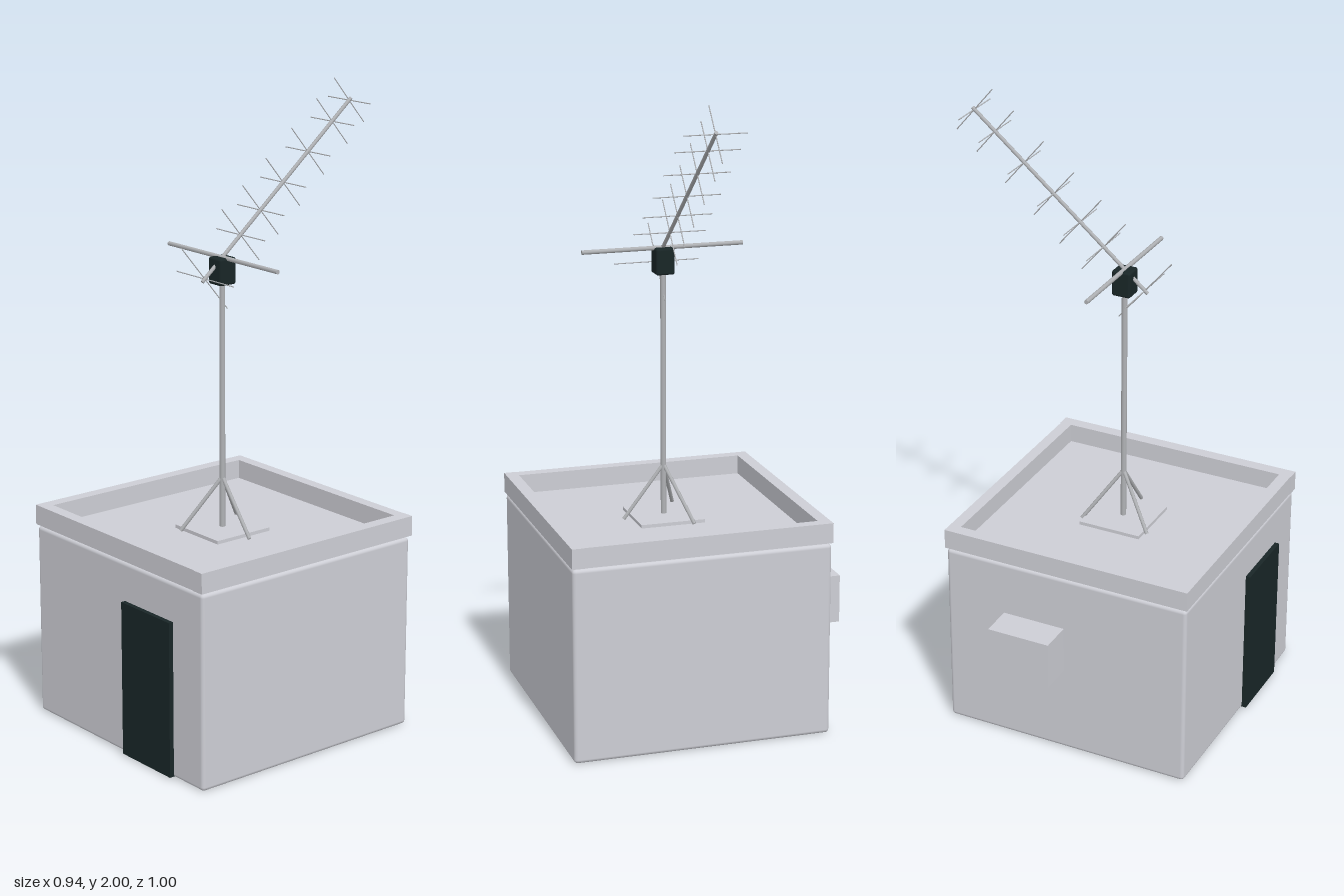
import * as THREE from 'three';
import { RoundedBoxGeometry } from 'three/addons/geometries/RoundedBoxGeometry.js';

const CX = 0.052, CZ = 0.072; // centre of the hut and mast

export function createModel() {
  const group = new THREE.Group();
  const concrete = new THREE.MeshStandardMaterial({ color: 0xcdced5 });
  concrete.name = 'concrete grey';
  const dark = new THREE.MeshStandardMaterial({ color: 0x192627 });
  dark.name = 'dark green';
  const metal = new THREE.MeshStandardMaterial({ color: 0xb0b2b5 });
  metal.name = 'metal grey';

  function add(name, geometry, material, x, y, z) {
    const mesh = new THREE.Mesh(geometry, material);
    mesh.name = name;
    mesh.position.set(x, y, z);
    group.add(mesh);
    return mesh;
  }
  // box given by its minimum and maximum corners
  function box(name, material, x0, x1, y0, y1, z0, z1, bevel = 0) {
    const w = x1 - x0, h = y1 - y0, d = z1 - z0;
    const geometry = bevel ? new RoundedBoxGeometry(w, h, d, 2, bevel) : new THREE.BoxGeometry(w, h, d);
    return add(name, geometry, material, (x0 + x1) / 2, (y0 + y1) / 2, (z0 + z1) / 2);
  }
  // round bar between two points
  function rod(name, a, b, radius, sides = 8) {
    const dir = b.clone().sub(a);
    const mid = a.clone().add(b).multiplyScalar(0.5);
    const mesh = add(name, new THREE.CylinderGeometry(radius, radius, dir.length(), sides), metal, mid.x, mid.y, mid.z);
    mesh.quaternion.setFromUnitVectors(new THREE.Vector3(0, 1, 0), dir.normalize());
    return mesh;
  }
  const v = (x, y, z) => new THREE.Vector3(x, y, z);

  // hut
  box('hutBody', concrete, -0.363, 0.465, 0, 0.622, -0.341, 0.485, 0.012);
  box('roofDeck', concrete, -0.35, 0.45, 0.607, 0.629, -0.33, 0.47);
  box('parapetFront', concrete, -0.365, 0.43, 0.627, 0.691, 0.449, 0.488);
  box('parapetBack', concrete, -0.365, 0.43, 0.627, 0.691, -0.345, -0.308);
  box('parapetRight', concrete, -0.365, -0.326, 0.627, 0.691, -0.345, 0.488);
  box('parapetLeft', concrete, 0.428, 0.468, 0.627, 0.691, -0.347, 0.49);
  box('door', dark, 0.091, 0.325, 0.003, 0.499, 0.48, 0.5);
  box('wallUnit', concrete, -0.469, -0.36, 0.289, 0.444, -0.139, 0.07);

  // mast on a plate with three braces
  box('mastPlate', concrete, CX - 0.104, CX + 0.104, 0.628, 0.64, CZ - 0.104, CZ + 0.104);
  rod('mast', v(CX, 0.632, CZ), v(CX, 1.45, CZ), 0.009, 12);
  for (let i = 0; i < 3; i++) {
    const a = (i * Math.PI * 2) / 3;
    rod('mastBrace', v(CX + 0.132 * Math.cos(a), 0.632, CZ + 0.132 * Math.sin(a)), v(CX, 0.802, CZ), 0.006);
  }

  // rotator and cross bar
  box('rotator', dark, CX - 0.03, CX + 0.03, 1.416, 1.5, CZ - 0.031, CZ + 0.031, 0.007);
  rod('crossBar', v(CX - 0.26, 1.498, CZ), v(CX + 0.26, 1.498, CZ), 0.007);

  // boom tilted 40 degrees up towards the back, with crossed elements
  const tilt = THREE.MathUtils.degToRad(40);
  const boomAt = (z) => v(CX, 1.498 + (CZ - z) * Math.tan(tilt), z);
  rod('boom', boomAt(0.15), boomAt(-0.445), 0.006);
  const elements = [
    [0.14, 0.137], [0, 0.115], [-0.079, 0.111], [-0.169, 0.107],
    [-0.269, 0.104], [-0.368, 0.101], [-0.438, 0.098],
  ];
  const across = v(1, 0, 0);
  const upright = v(0, Math.cos(tilt), Math.sin(tilt));
  for (const [z, half] of elements) {
    const p = boomAt(z);
    for (const [name, dir] of [['elementAcross', across], ['elementUpright', upright]]) {
      rod(name, p.clone().addScaledVector(dir, -half), p.clone().addScaledVector(dir, half), 0.0017, 6);
    }
  }
  return group;
}
